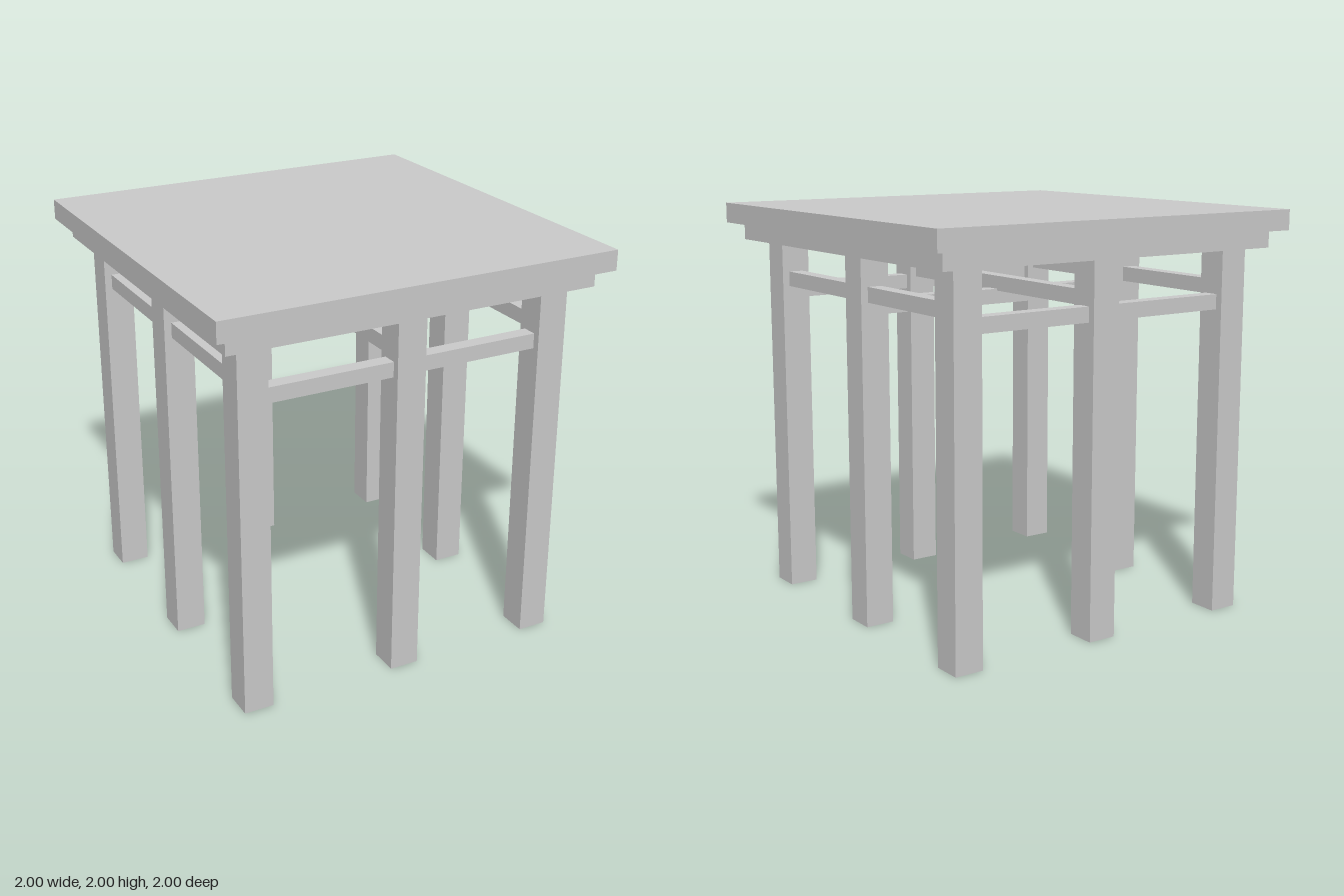
import * as THREE from 'three';

const material = new THREE.MeshStandardMaterial({ color: 0xcccccc, flatShading: true });

// Leg grid and shared sizes
const LEG_X = [-0.784, -0.002, 0.755];
const LEG_Z = [-0.78, 0.002, 0.798];
const LEG = 0.146;
const RAIL = 0.074;

function box(name, w, h, d, x, y, z) {
  const mesh = new THREE.Mesh(new THREE.BoxGeometry(w, h, d), material);
  mesh.name = name;
  mesh.position.set(x, y, z);
  return mesh;
}

export function createModel() {
  const table = new THREE.Group();
  table.name = 'table';

  // Top board with a smaller board beneath it
  table.add(box('tableTop', 2, 0.1, 2, 0, 1.95, 0));
  table.add(box('underTop', 1.867, 0.085, 1.867, -0.002, 1.8575, 0.002));

  // Eight legs: corners and edge middles, none in the centre
  const legs = new THREE.Group();
  legs.name = 'legs';
  LEG_X.forEach((x, i) => LEG_Z.forEach((z, j) => {
    if (i === 1 && j === 1) return;
    legs.add(box('leg', LEG, 1.815, LEG, x, 0.9075, z));
  }));
  table.add(legs);

  // Rails joining the legs: side-to-side set below, front-to-back set resting on it
  const rails = new THREE.Group();
  rails.name = 'rails';
  const spanX = LEG_X[2] - LEG_X[0], midX = (LEG_X[2] + LEG_X[0]) / 2;
  const spanZ = LEG_Z[2] - LEG_Z[0], midZ = (LEG_Z[2] + LEG_Z[0]) / 2;
  for (const z of LEG_Z) rails.add(box('crossRail', spanX, RAIL, RAIL, midX, 1.557, z));
  for (const x of LEG_X) rails.add(box('sideRail', RAIL, RAIL, spanZ, x, 1.622, midZ));
  table.add(rails);

  return table;
}
